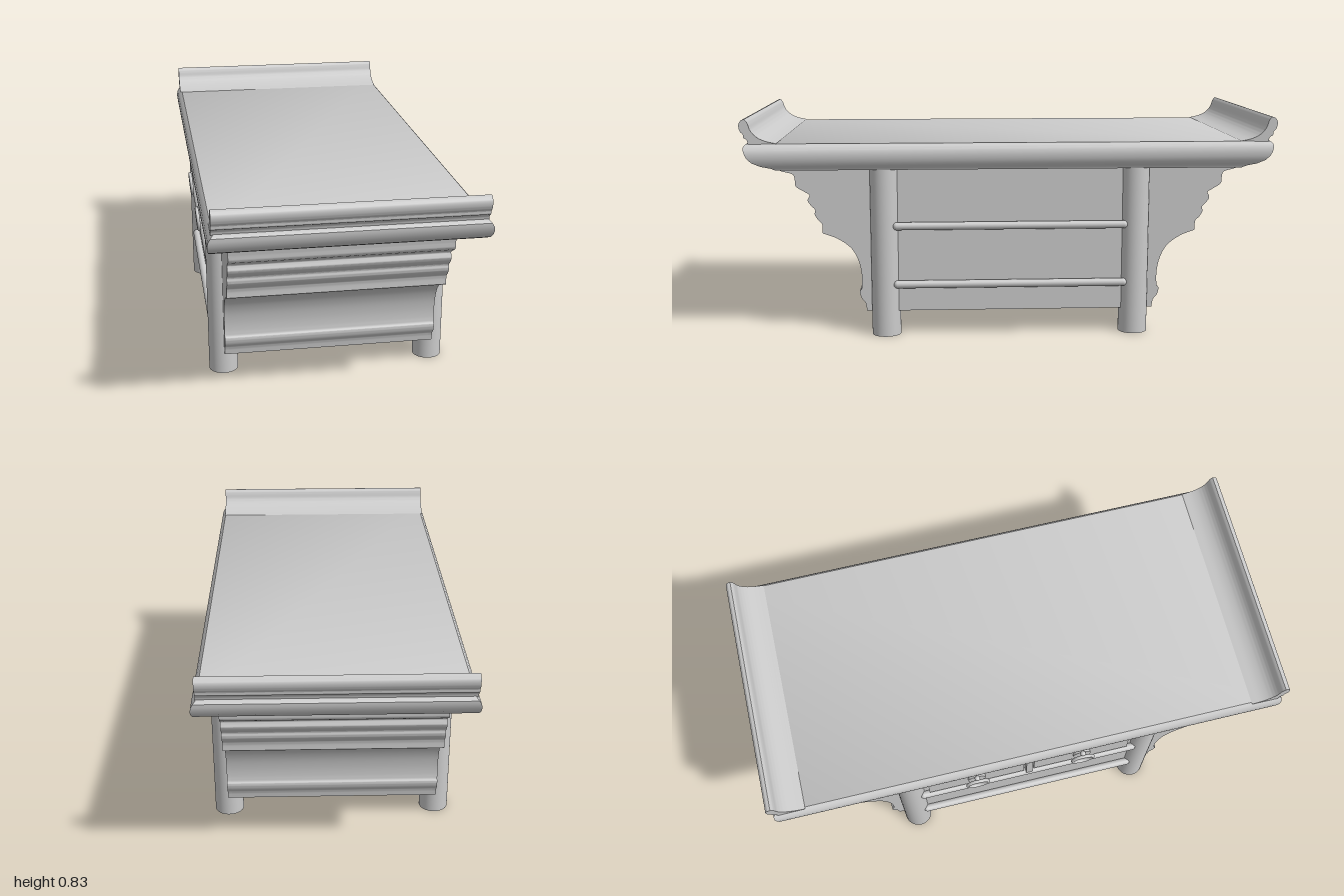
import * as THREE from 'three';
import { toCreasedNormals } from 'three/addons/utils/BufferGeometryUtils.js';

const material = new THREE.MeshStandardMaterial({ color: 0xcccccc, side: THREE.DoubleSide });
const v2 = (list) => list.map(([a, b]) => new THREE.Vector2(a, b));

function add(parent, name, geometry, x = 0, y = 0, z = 0) {
  const mesh = new THREE.Mesh(geometry, material);
  mesh.name = name;
  mesh.position.set(x, y, z);
  parent.add(mesh);
  return mesh;
}

// Extrude a (z, y) outline along x, centred on x = 0
function extrudeX(points, width, crease = 0.6) {
  const g = new THREE.ExtrudeGeometry(new THREE.Shape(points), { depth: width, bevelEnabled: false });
  g.translate(0, 0, -width / 2);
  g.rotateY(-Math.PI / 2);
  return toCreasedNormals(g, crease);
}

// Loft through rectangles given as [y, half width, half length]
function loftRects(levels) {
  const pos = [], index = [];
  for (const [y, hx, hz] of levels) pos.push(-hx, y, hz, hx, y, hz, hx, y, -hz, -hx, y, -hz);
  for (let i = 0; i < levels.length - 1; i++) {
    for (let j = 0; j < 4; j++) {
      const a = i * 4 + j, b = i * 4 + (j + 1) % 4;
      index.push(a, b, b + 4, a, b + 4, a + 4);
    }
  }
  const t = (levels.length - 1) * 4;
  index.push(0, 2, 1, 0, 3, 2, t, t + 1, t + 2, t, t + 2, t + 3);
  const g = new THREE.BufferGeometry();
  g.setAttribute('position', new THREE.Float32BufferAttribute(pos, 3));
  g.setIndex(index);
  return toCreasedNormals(g, 0.75);
}

export function createModel() {
  const model = new THREE.Group();
  model.name = 'altarTable';

  // Table top with a bulging edge
  add(model, 'tableTop', loftRects([
    [0.642, 0.455, 0.87], [0.65, 0.458, 0.89], [0.658, 0.466, 0.925], [0.672, 0.475, 0.955],
    [0.688, 0.479, 0.972], [0.703, 0.48, 0.98], [0.72, 0.477, 0.985], [0.733, 0.469, 0.985],
    [0.742, 0.46, 0.975],
  ]));

  // Upturned end and stepped end bracket profiles, as (z, y)
  const curlInner = new THREE.SplineCurve(v2([
    [0.865, 0.743], [0.905, 0.752], [0.937, 0.768], [0.958, 0.792], [0.968, 0.82], [0.979, 0.833],
  ])).getPoints(24);
  const curlOuter = new THREE.SplineCurve(v2([
    [0.979, 0.833], [0.992, 0.828], [1.0, 0.812], [0.996, 0.79], [0.985, 0.777],
    [0.984, 0.765], [0.972, 0.757], [0.967, 0.74],
  ])).getPoints(28);
  const curl = [...curlInner, ...curlOuter.slice(1)].reverse();

  const steps = new THREE.SplineCurve(v2([
    [0.875, 0.644], [0.86, 0.632], [0.818, 0.62], [0.81, 0.6], [0.806, 0.573], [0.775, 0.553],
    [0.757, 0.54], [0.764, 0.52], [0.752, 0.5], [0.737, 0.484], [0.739, 0.466], [0.727, 0.445],
    [0.712, 0.428], [0.711, 0.395],
  ])).getPoints(65);
  const sweep = new THREE.SplineCurve(v2([
    [0.708, 0.392], [0.655, 0.372], [0.605, 0.335], [0.578, 0.285], [0.567, 0.23],
    [0.568, 0.18], [0.576, 0.165], [0.57, 0.14], [0.555, 0.12], [0.55, 0.09],
  ])).getPoints(45);
  const outline = [...steps, ...sweep];
  const inner = outline.map((p) => new THREE.Vector2(p.x - 0.02, p.y)).reverse();
  const cheek = [...outline, ...v2([[0.475, 0.09], [0.475, 0.644]])];

  const skinGeometry = extrudeX([...outline, ...inner], 0.77);
  const cheekGeometry = extrudeX(cheek, 0.015);
  const curlGeometry = extrudeX(curl, 0.93);

  for (const [side, turn] of [['front', 0], ['back', Math.PI]]) {
    const end = new THREE.Group();
    end.name = side + 'End';
    end.rotation.y = turn;
    model.add(end);
    add(end, 'upturnedEnd', curlGeometry, turn ? 0.003 : -0.003);
    add(end, 'bracketSkin', skinGeometry);
    for (const s of [-1, 1]) add(end, 'bracketCheek', cheekGeometry, s * 0.3925);
  }

  // Legs
  const legGeometry = new THREE.CylinderGeometry(0.055, 0.055, 0.645, 40);
  for (const x of [-0.4, 0.4]) for (const z of [-0.475, 0.475]) add(model, 'leg', legGeometry, x, 0.3225, z);

  // Side panels and round rails
  const panelGeometry = new THREE.BoxGeometry(0.02, 0.55, 0.9);
  const railGeometry = new THREE.CapsuleGeometry(0.015, 0.86, 6, 20).rotateX(Math.PI / 2);
  for (const s of [-1, 1]) {
    add(model, 'sidePanel', panelGeometry, s * 0.415, 0.37, 0);
    for (const y of [0.2, 0.425]) add(model, 'rail', railGeometry, s * 0.438, y, 0);
  }

  // Two drawers with ring pulls on the right side
  add(model, 'drawerDivider', new THREE.BoxGeometry(0.02, 0.21, 0.025), -0.438, 0.54, 0);
  const drawerGeometry = new THREE.BoxGeometry(0.02, 0.185, 0.385);
  const plateGeometry = new THREE.CylinderGeometry(0.035, 0.035, 0.012, 32).rotateZ(Math.PI / 2);
  const ringGeometry = new THREE.TorusGeometry(0.041, 0.007, 12, 40).rotateY(Math.PI / 2);
  const knobGeometry = new THREE.SphereGeometry(0.011, 16, 12);
  for (const z of [-0.213, 0.213]) {
    const drawer = new THREE.Group();
    drawer.name = 'drawer';
    drawer.position.set(-0.43, 0.541, z);
    model.add(drawer);
    add(drawer, 'drawerFront', drawerGeometry);
    add(drawer, 'pullPlate', plateGeometry, -0.014, -0.02, 0);
    add(drawer, 'pullKnob', knobGeometry, -0.026, 0.016, 0);
    add(drawer, 'pullRing', ringGeometry, -0.035, -0.028, 0).rotation.z = 0.08;
  }

  return model;
}
